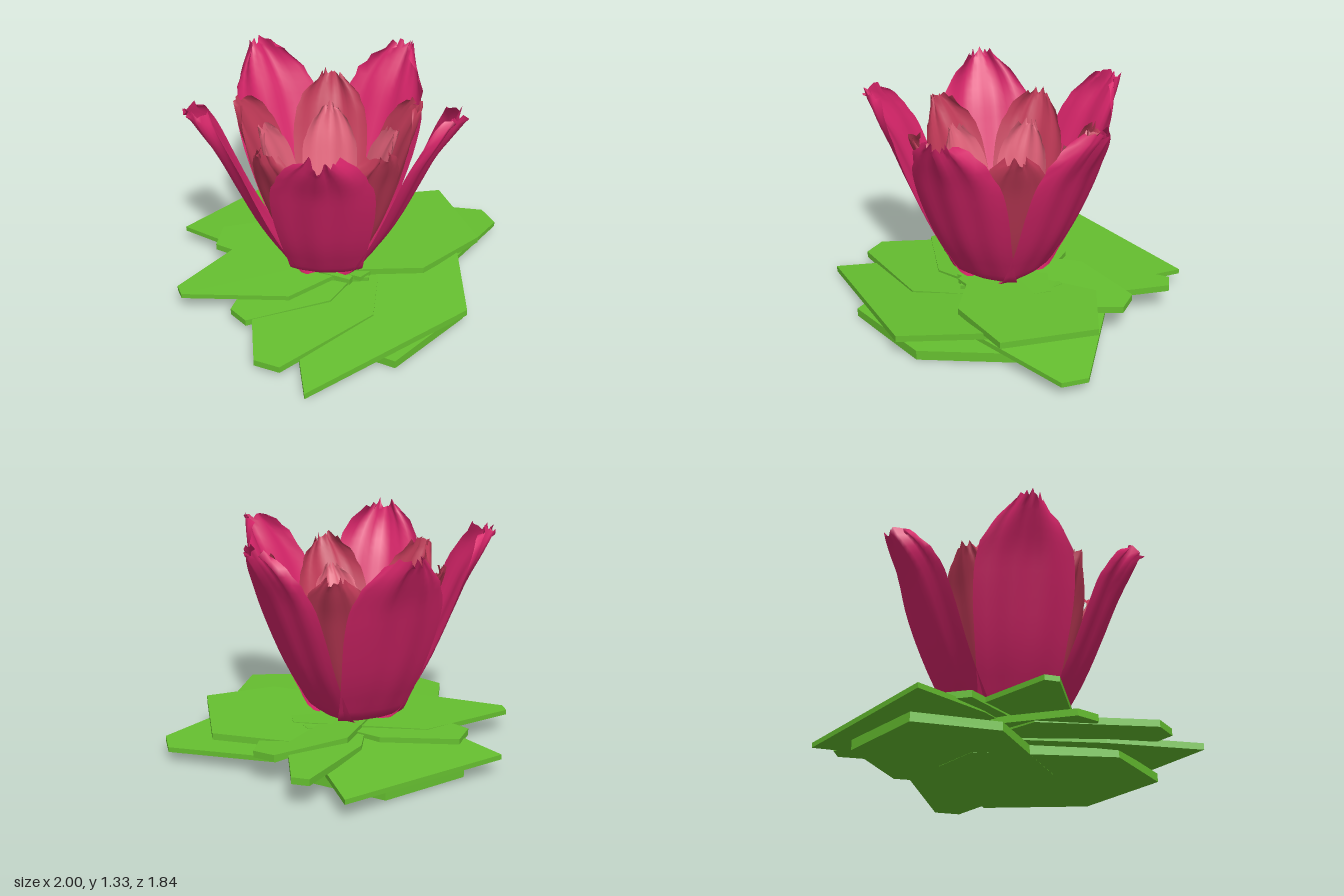
import * as THREE from 'three';

const mat = (color, extra = {}) => new THREE.MeshStandardMaterial({ color, side: THREE.DoubleSide, ...extra });

// Repeatable noise in -1..1
const noise = (a, b) => {
  const s = Math.sin(a * 127.1 + b * 311.7) * 43758.5453;
  return (s - Math.floor(s)) * 2 - 1;
};

// Petal centre line: distance from axis, height, half width
const profile = new THREE.CatmullRomCurve3([
  [0.04, 0.18, 0.10], [0.23, 0.21, 0.2], [0.33, 0.35, 0.225], [0.44, 0.55, 0.255],
  [0.56, 0.83, 0.285], [0.64, 1.02, 0.275], [0.72, 1.17, 0.21], [0.79, 1.3, 0.09],
].map((p) => new THREE.Vector3(...p)));

// One cupped, ribbed petal with a ragged tip
function petalGeometry(seed, kr, ky, kw) {
  const cols = 16, rows = 22;
  const geo = new THREE.PlaneGeometry(2, 1, cols, rows);
  const pos = geo.attributes.position;
  const p = new THREE.Vector3();
  for (let i = 0; i < pos.count; i++) {
    const u = pos.getX(i), v = pos.getY(i) + 0.5;
    const row = Math.round(v * rows), col = Math.round((u + 1) * cols / 2);
    profile.getPoint(v, p);
    const tip = Math.max(0, (v - 0.7) / 0.3);
    const ragged = Math.abs(u) > 0.95 ? 1 + 0.16 * tip * noise(row, seed) : 1;
    const rib = 0.012 * v * Math.sin(u * 9 + seed) + 0.022 * tip * noise(col, seed + 3);
    const cup = (0.03 + 0.07 * v) * u * u;
    const frill = v > 0.99 ? 0.035 * noise(col, seed + 7) : 0;
    pos.setXYZ(i,
      (p.x - cup + rib) * kr,
      0.18 + (p.y - 0.18 + frill) * ky,
      -u * p.z * kw * ragged);
  }
  geo.computeVertexNormals();
  return geo;
}

// Thin slab leaf pointing along an angle, cut off square at the tip and tilted
function leafGeometry({ angle, reach, tip, half, y, sx = 0, sz = 0, t = 0.04 }) {
  const a = THREE.MathUtils.degToRad(angle), c = Math.cos(a), s = Math.sin(a);
  const outline = [
    [-0.3, -0.15], [0.45 * reach, -half], [reach, tip[0]],
    [reach, tip[1]], [0.45 * reach, half], [-0.3, 0.15],
  ];
  const shape = new THREE.Shape(outline.map(([l, b]) => new THREE.Vector2(l * c - b * s, l * s + b * c)));
  const geo = new THREE.ExtrudeGeometry(shape, { depth: t, bevelEnabled: false });
  geo.rotateX(Math.PI / 2);
  const pos = geo.attributes.position;
  for (let i = 0; i < pos.count; i++) {
    const h = pos.getY(i) + y + sx * pos.getX(i) + sz * pos.getZ(i);
    pos.setY(i, Math.max(0, h));
  }
  geo.computeVertexNormals();
  return geo;
}

const leaves = [
  // bottom pair, front and rear
  { angle: 90, reach: 0.84, tip: [-0.15, 0.45], half: 0.6, y: 0.06, sx: 0.02, t: 0.06 },
  { angle: 270, reach: 0.82, tip: [-0.3, 0.25], half: 0.5, y: 0.06, sx: 0.02, t: 0.06 },
  // front
  { angle: 104.5, reach: 0.875, tip: [-0.3, 0.78], half: 0.57, y: 0.15, sx: 0.115 },
  // right, lower and upper
  { angle: 21, reach: 1.04, tip: [-0.08, 0.08], half: 0.42, y: 0.16, sx: -0.065, t: 0.03 },
  { angle: 25, reach: 0.78, tip: [-0.29, 0.28], half: 0.42, y: 0.19, sx: 0.04, sz: 0.035 },
  // right rear
  { angle: -24, reach: 0.76, tip: [-0.05, 0.09], half: 0.27, y: 0.19, sz: -0.05 },
  { angle: -44, reach: 0.95, tip: [-0.04, 0.06], half: 0.22, y: 0.17, sx: 0.03 },
  // rear
  { angle: 271.5, reach: 0.9, tip: [-0.52, 0.54], half: 0.42, y: 0.17, sz: 0.05, t: 0.03 },
  { angle: 236, reach: 0.78, tip: [-0.1, 0.08], half: 0.25, y: 0.18, sx: 0.03 },
  // left
  { angle: 204, reach: 1.04, tip: [-0.04, 0.04], half: 0.32, y: 0.19, sx: 0.05, t: 0.03 },
  { angle: 184, reach: 0.82, tip: [-0.07, 0.07], half: 0.3, y: 0.17, sx: 0.1 },
  { angle: 160, reach: 1.04, tip: [-0.08, 0.08], half: 0.4, y: 0.15, sx: 0.08 },
];

export function createModel() {
  const model = new THREE.Group();

  // Three rings of petals around the flower axis
  const flower = new THREE.Group();
  flower.name = 'flower';
  flower.position.set(-0.12, 0, -0.01);
  const rings = [
    { name: 'outerPetal', color: 0xd8256a, start: -6, kr: 1, ky: 1, kw: 1 },
    { name: 'middlePetal', color: 0xc23a58, start: 30, kr: 0.72, ky: 0.86, kw: 0.78 },
    { name: 'innerPetal', color: 0xe06078, start: 30, kr: 0.54, ky: 0.72, kw: 0.58 },
  ];
  rings.forEach(({ name, color, start, kr, ky, kw }, r) => {
    const material = mat(color);
    for (let k = 0; k < 5; k++) {
      const petal = new THREE.Mesh(petalGeometry(r * 5 + k + 1, kr, ky, kw), material);
      petal.name = name;
      petal.rotation.y = -THREE.MathUtils.degToRad(start + 72 * k);
      flower.add(petal);
    }
  });

  // Faceted yellow heart
  const heart = new THREE.Mesh(new THREE.SphereGeometry(0.16, 8, 6), mat(0xe8c040, { flatShading: true }));
  heart.name = 'flowerHeart';
  heart.position.y = 0.34;
  heart.rotation.y = Math.PI / 8;
  flower.add(heart);
  model.add(flower);

  // Overlapping leaves under the flower
  const foliage = new THREE.Group();
  foliage.name = 'leaves';
  const green = mat(0x66c030, { flatShading: true });
  for (const leaf of leaves) {
    const mesh = new THREE.Mesh(leafGeometry(leaf), green);
    mesh.name = 'leaf';
    foliage.add(mesh);
  }
  model.add(foliage);
  return model;
}
